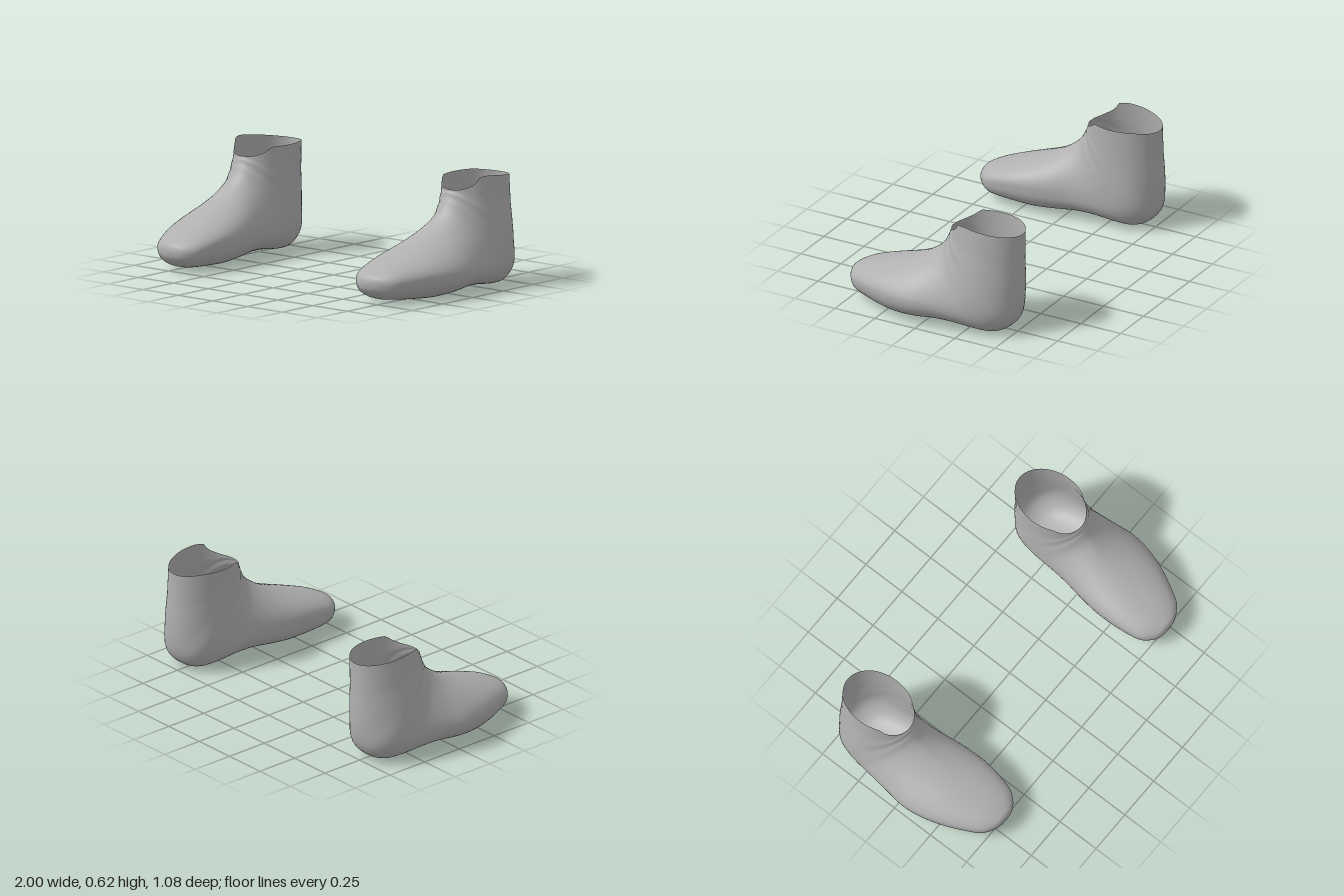
import * as THREE from 'three';

// Sections from toe to ankle, each a closed ring in a plane that tips from upright to level:
// top z, top y, bottom z, bottom y, inner x, outer x, ridge x, height of widest point (0-1), roundness of upper half
const SECTIONS = [
  [0.54, 0.122, 0.54, 0.112, 0.70, 0.715, 0.71, 0.5, 2],
  [0.53, 0.152, 0.528, 0.07, 0.635, 0.775, 0.71, 0.5, 2.2],
  [0.50, 0.172, 0.475, 0.03, 0.585, 0.84, 0.71, 0.55, 2.2],
  [0.44, 0.20, 0.42, 0.016, 0.553, 0.88, 0.71, 0.58, 2.2],
  [0.30, 0.25, 0.30, 0.006, 0.532, 0.945, 0.72, 0.56, 2.05],
  [0.18, 0.295, 0.17, 0.0, 0.53, 0.985, 0.73, 0.5, 1.9],
  [0.08, 0.34, 0.04, 0.01, 0.543, 1.0, 0.735, 0.42, 1.8],
  [0.01, 0.385, -0.08, 0.023, 0.56, 0.988, 0.74, 0.36, 1.75],
  [-0.035, 0.425, -0.20, 0.02, 0.57, 0.975, 0.745, 0.34, 1.75],
  [-0.06, 0.46, -0.33, 0.005, 0.575, 0.963, 0.745, 0.36, 1.8],
  [-0.075, 0.49, -0.42, 0.008, 0.577, 0.957, 0.745, 0.4, 1.9],
  [-0.086, 0.51, -0.49, 0.055, 0.58, 0.95, 0.745, 0.43, 1.9],
  [-0.092, 0.53, -0.523, 0.13, 0.583, 0.942, 0.745, 0.46, 2],
  [-0.098, 0.54, -0.535, 0.25, 0.588, 0.93, 0.745, 0.48, 2],
  [-0.10, 0.546, -0.53, 0.42, 0.59, 0.915, 0.745, 0.5, 2],
];

// Height of the open rim along z (z, y)
const RIM = [[-0.10, 0.55], [-0.125, 0.555], [-0.175, 0.58], [-0.20, 0.62], [-0.25, 0.625], [-0.33, 0.617], [-0.53, 0.59]];
const SEGMENTS = 56;
const STEPS = 3;

function rimHeight(z) {
  for (let i = 1; i < RIM.length; i++) {
    const [z0, y0] = RIM[i - 1], [z1, y1] = RIM[i];
    if (z >= z1) return THREE.MathUtils.lerp(y0, y1, Math.max(0, (z0 - z) / (z0 - z1)));
  }
  return RIM[RIM.length - 1][1];
}

// Smooth interpolation between neighbouring sections
function sectionAt(i, t) {
  const row = (k) => SECTIONS[THREE.MathUtils.clamp(k, 0, SECTIONS.length - 1)];
  return row(i).map((b, k) => {
    const a = row(i - 1)[k], c = row(i + 1)[k], d = row(i + 2)[k];
    return b + 0.5 * t * (c - a + t * (2 * a - 5 * b + 4 * c - d + t * (3 * (b - c) + d - a)));
  });
}

const power = (v, e) => Math.sign(v) * Math.pow(Math.abs(v), e);

// Egg-shaped ring: a pointed or round upper half over a flatter sole half
function sectionRing([zt, yt, zb, yb, inner, outer, ridge, wide, round]) {
  const ring = [];
  const level = THREE.MathUtils.smoothstep(yb, 0.05, 0.2); // heel sections become plain ovals
  for (let j = 0; j < SEGMENTS; j++) {
    const a = (j / SEGMENTS) * Math.PI * 2;
    const n = Math.sin(a) > 0 ? round : 2.4 - 0.4 * level;
    const s = power(Math.sin(a), 2 / n);
    const f = s > 0 ? wide + (1 - wide) * s : wide * (1 + s);
    const centre = THREE.MathUtils.lerp((inner + outer) / 2, ridge, Math.max(0, s));
    const x = centre + power(Math.cos(a), 2 / n) * (outer - inner) / 2;
    ring.push([x, yb + (yt - yb) * f, zb + (zt - zb) * f]);
  }
  return ring;
}

// Stepped oval rim, a little lower on the inner side
function rimRing() {
  const ring = [];
  for (let j = 0; j < SEGMENTS; j++) {
    const a = (j / SEGMENTS) * Math.PI * 2;
    const z = -0.315 + 0.215 * Math.sin(a);
    const y = rimHeight(z);
    ring.push([0.746 + 0.156 * Math.cos(a), Math.cos(a) < -0.05 ? Math.min(y, 0.602) : y, z]);
  }
  return ring;
}

// Loft the rings into an open shell; side = 1 for left, -1 for right
function bootGeometry(side) {
  const rings = [];
  for (let i = 0; i < SECTIONS.length - 1; i++) {
    for (let k = 0; k < STEPS; k++) rings.push(sectionRing(sectionAt(i, k / STEPS)));
  }
  rings.push(sectionRing(SECTIONS[SECTIONS.length - 1]), rimRing());

  const positions = rings.flat().flatMap(([x, y, z]) => [x * side, Math.max(0, y), z]);
  const index = [];
  const face = (a, b, c) => (side > 0 ? index.push(a, b, c) : index.push(a, c, b));
  for (let i = 0; i < rings.length - 1; i++) {
    for (let j = 0; j < SEGMENTS; j++) {
      const a = i * SEGMENTS + j, b = i * SEGMENTS + ((j + 1) % SEGMENTS);
      face(a, a + SEGMENTS, b);
      face(b, a + SEGMENTS, b + SEGMENTS);
    }
  }
  // Close the tip of the toe
  for (let j = 1; j < SEGMENTS - 1; j++) face(0, j, j + 1);

  const geometry = new THREE.BufferGeometry();
  geometry.setAttribute('position', new THREE.Float32BufferAttribute(positions, 3));
  geometry.setIndex(index);
  geometry.computeVertexNormals();
  return geometry;
}

export function createModel() {
  const model = new THREE.Group();
  model.name = 'pairOfBoots';
  const grey = new THREE.MeshStandardMaterial({ color: 0xb0b0b0, side: THREE.DoubleSide });
  grey.name = 'grey';
  for (const [name, side] of [['leftBoot', 1], ['rightBoot', -1]]) {
    const boot = new THREE.Mesh(bootGeometry(side), grey);
    boot.name = name;
    model.add(boot);
  }
  return model;
}
